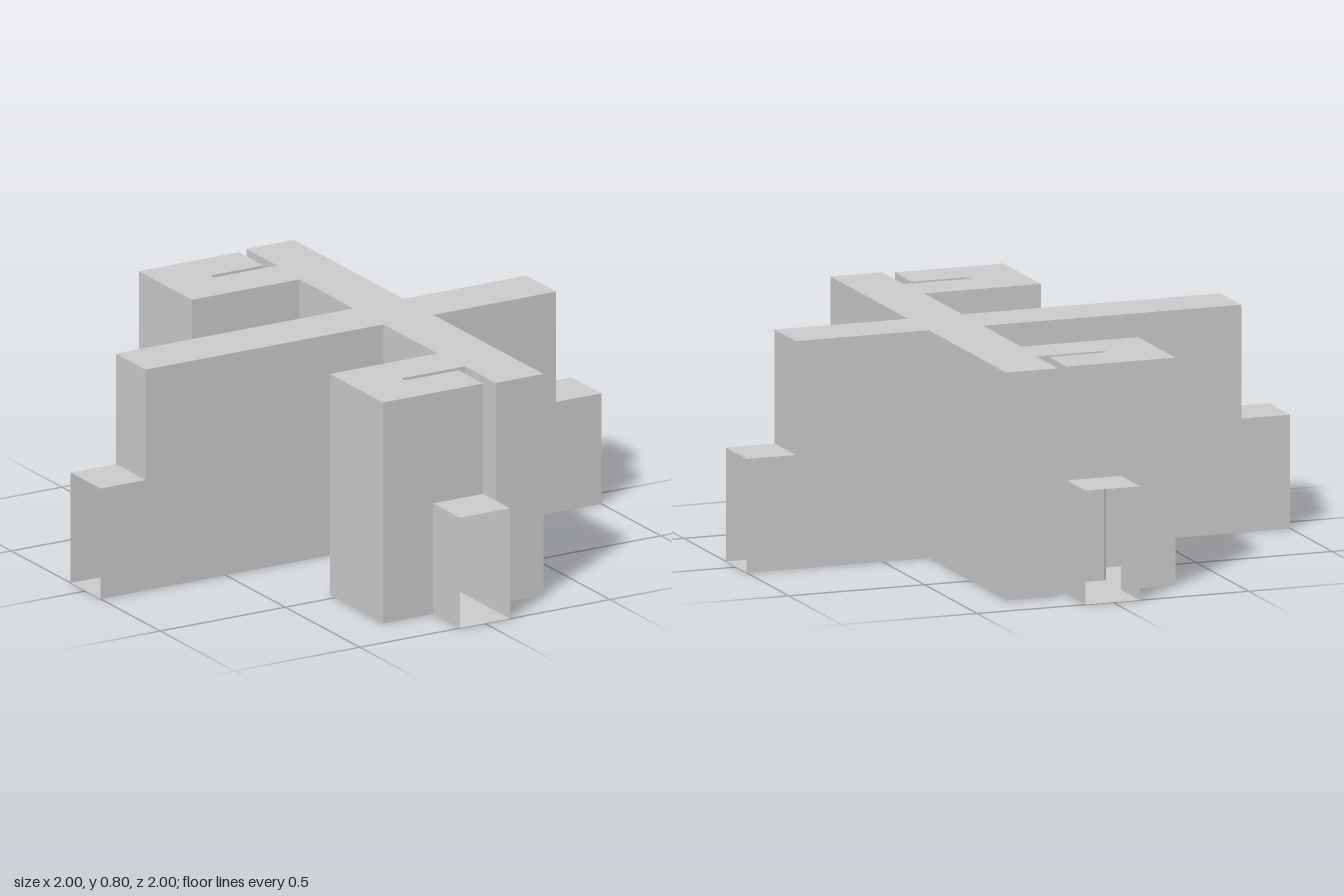
import * as THREE from 'three';
import { mergeGeometries } from 'three/addons/utils/BufferGeometryUtils.js';

const HEIGHT = 0.8, TAB_HEIGHT = 0.4, TAB_LENGTH = 0.18;

// Upright rectangle above the plan segment p -> q, facing outward
function wall(p, q, y0, y1) {
  const g = new THREE.BufferGeometry();
  const corners = [[q, y0], [p, y0], [p, y1], [q, y1]];
  g.setAttribute('position', new THREE.Float32BufferAttribute(
    corners.flatMap(([c, y]) => [c[0], y, c[1]]), 3));
  g.setAttribute('uv', new THREE.Float32BufferAttribute([0, 0, 1, 0, 1, 1, 0, 1], 2));
  g.setIndex([0, 1, 2, 0, 2, 3]);
  g.computeVertexNormals();
  return g;
}

// Horizontal face over a plan outline, facing up or down
function cap(points, y, up) {
  const s = up ? -1 : 1;
  const shape = new THREE.Shape(points.map(([x, z]) => new THREE.Vector2(x, s * z)));
  return new THREE.ShapeGeometry(shape).rotateX(s * Math.PI / 2).translate(0, y, 0);
}

export function createModel() {
  const group = new THREE.Group();
  const material = new THREE.MeshStandardMaterial({
    color: 0xcccccc, flatShading: true, side: THREE.DoubleSide });
  const add = (name, parts) => {
    const mesh = new THREE.Mesh(mergeGeometries(parts), material);
    mesh.name = name;
    group.add(mesh);
  };

  // Plan outline (x, z): cross arm, hooked arm with a narrow slot, mirrored front to back
  const half = [
    [0.82, 0.1], [0.33, 0.1], [0.33, 0.838], [0.14, 0.838], [0.14, 0.63],
    [-0.105, 0.63], [-0.115, 0.638], [-0.11, 0.65], [-0.1, 0.655], [0.1, 0.655],
    [0.1, 0.82], [-0.1, 0.82], [-0.3, 0.82], [-0.3, 0.463], [0.13, 0.463],
    [0.13, 0.1], [-0.82, 0.1],
  ];
  const outline = [...half, ...half.map(([x, z]) => [x, -z]).reverse()];

  const body = [cap(outline, 0, false), cap(outline, HEIGHT, true)];
  const isTabRoot = ([x, z]) =>
    Math.max(Math.abs(x), Math.abs(z)) === 0.82 && Math.min(Math.abs(x), Math.abs(z)) === 0.1;

  outline.forEach((p, i) => {
    const q = outline[(i + 1) % outline.length];
    if (!(isTabRoot(p) && isTabRoot(q))) {
      body.push(wall(p, q, 0, HEIGHT));
      return;
    }
    // Low hollow tab, open at its outer end and into the body
    body.push(wall(p, q, TAB_HEIGHT, HEIGHT));
    const dx = q[0] - p[0], dz = q[1] - p[1], k = TAB_LENGTH / Math.hypot(dx, dz);
    const outward = c => [c[0] + dz * k, c[1] - dx * k];
    const pOut = outward(p), qOut = outward(q), plan = [p, pOut, qOut, q];
    add('endTab', [
      wall(p, pOut, 0, TAB_HEIGHT), wall(qOut, q, 0, TAB_HEIGHT),
      cap(plan, 0, false), cap(plan, TAB_HEIGHT, true),
    ]);
  });
  add('crossBody', body);
  return group;
}
